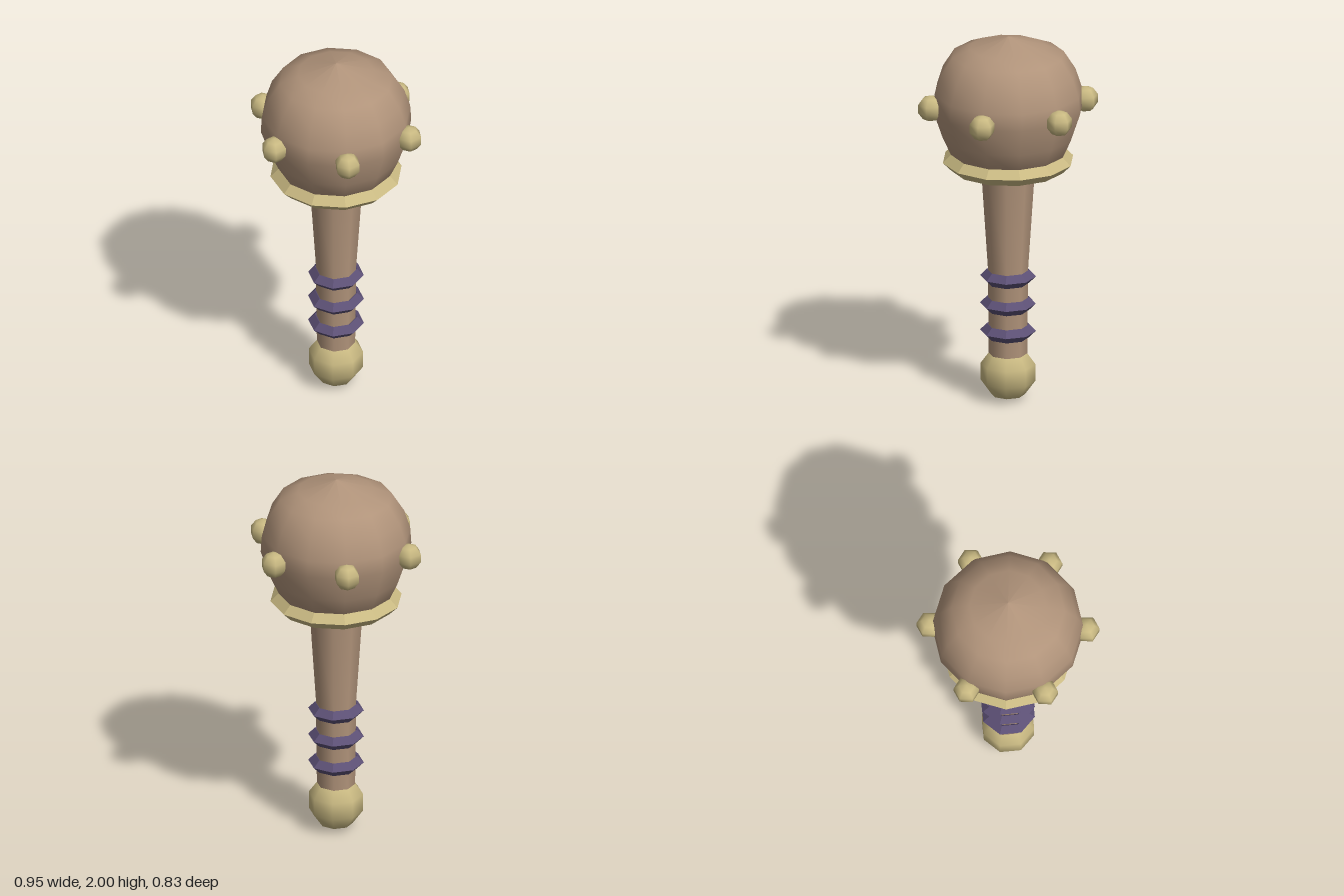
import * as THREE from 'three';

export function createModel() {
  const wood = new THREE.MeshStandardMaterial({ color: 0xb0937a });
  wood.name = 'brown wood';
  const brass = new THREE.MeshStandardMaterial({ color: 0xc9b982 });
  brass.name = 'pale brass';
  const grip = new THREE.MeshStandardMaterial({ color: 0x5c5075 });
  grip.name = 'purple grip';

  const model = new THREE.Group();
  model.name = 'studdedClub';

  function add(name, geometry, material, x = 0, y = 0, z = 0) {
    const mesh = new THREE.Mesh(geometry, material);
    mesh.name = name;
    mesh.position.set(x, y, z);
    model.add(mesh);
    return mesh;
  }

  const lathe = (points, sides) =>
    new THREE.LatheGeometry(points.map(([r, y]) => new THREE.Vector2(r, y)), sides);

  // Diamond-section ring lying flat, with crisp facets
  function ring(radius, tube, sides) {
    const g = new THREE.TorusGeometry(radius, tube, 4, sides).rotateX(Math.PI / 2).toNonIndexed();
    g.computeVertexNormals();
    return g;
  }

  // Handle, flaring towards the head
  add('handle', lathe([[0.1, 0.2], [0.105, 0.72], [0.142, 1.29]], 8), wood);

  // Rounded head with a shallow peak
  add('head', lathe([
    [0, 1.27], [0.2, 1.27], [0.29, 1.34], [0.345, 1.46], [0.396, 1.61],
    [0.39, 1.7], [0.358, 1.8], [0.295, 1.9], [0.2, 1.94], [0, 2],
  ], 12), wood);

  // Pommel
  add('pommel', new THREE.SphereGeometry(0.15, 8, 5), brass, 0, 0.15, 0);

  // Collar under the head
  add('collar', ring(0.3, 0.045, 12), brass, 0, 1.323, 0);

  // Grip rings
  for (const y of [0.38, 0.53, 0.68]) add('gripRing', ring(0.11, 0.036, 8), grip, 0, y, 0);

  // Six studs around the head
  const studGeometry = new THREE.SphereGeometry(0.07, 6, 5);
  for (let i = 0; i < 6; i++) {
    const a = (i * Math.PI) / 3;
    add('stud', studGeometry, brass, 0.41 * Math.cos(a), 1.63, 0.41 * Math.sin(a));
  }

  return model;
}
